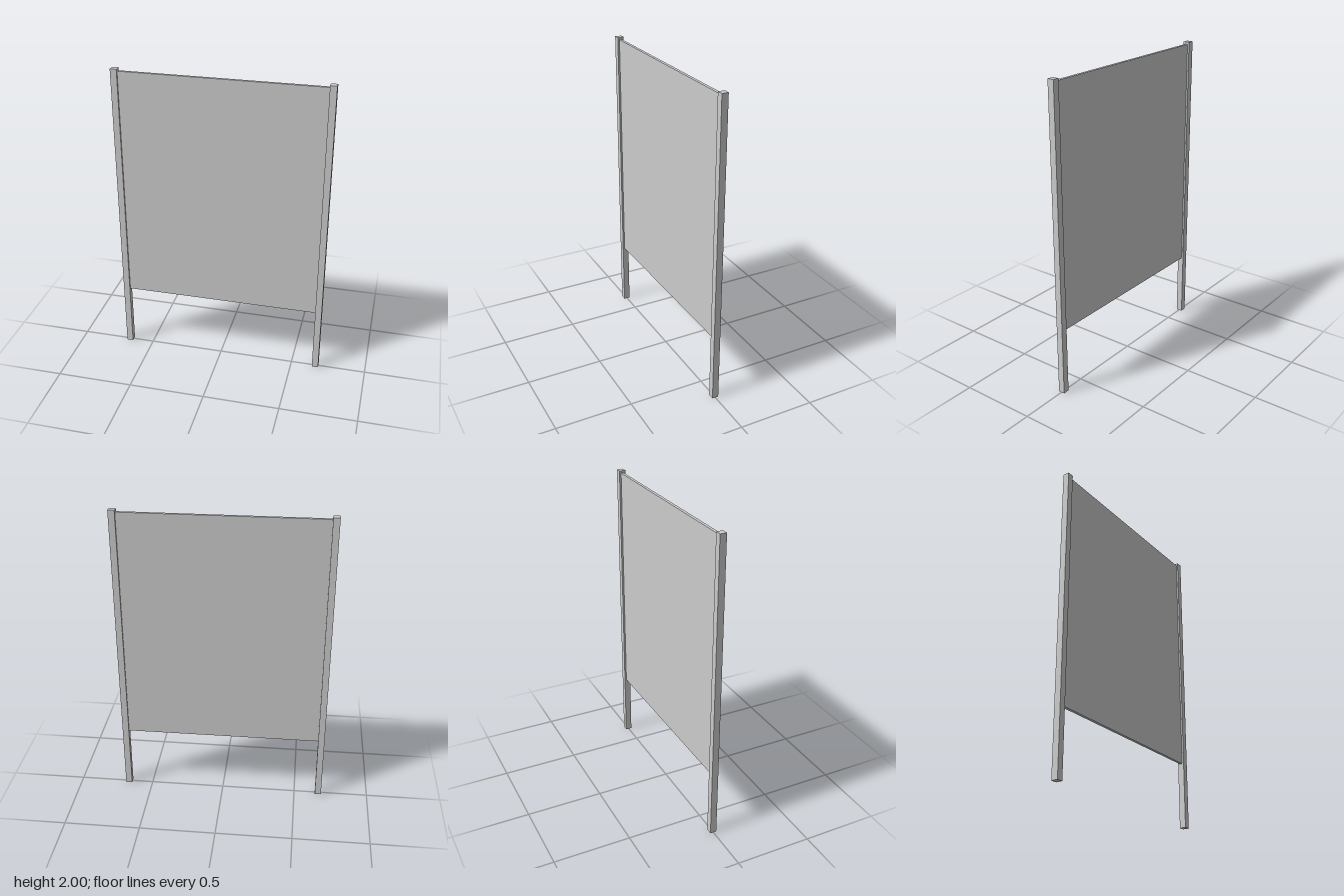
import * as THREE from 'three';

const HEIGHT = 2;
const POST = 0.042; // square post section
const POST_X = 0.665; // post centre line
const PANEL_BOTTOM = 0.433;
const PANEL_TOP = 1.985;
const PANEL_DEPTH = 0.019;

export function createModel() {
  const model = new THREE.Group();
  model.name = 'noticeBoard';
  const material = new THREE.MeshStandardMaterial({ color: 0xcccccc });

  const addBox = (name, size, position) => {
    const mesh = new THREE.Mesh(new THREE.BoxGeometry(...size), material);
    mesh.name = name;
    mesh.position.set(...position);
    model.add(mesh);
  };

  // Square posts on both sides
  for (const side of [-1, 1]) {
    addBox(side > 0 ? 'leftPost' : 'rightPost', [POST, HEIGHT, POST], [side * POST_X, HEIGHT / 2, 0]);
  }

  // Thin panel spanning the gap between the posts
  addBox(
    'panel',
    [2 * POST_X - POST, PANEL_TOP - PANEL_BOTTOM, PANEL_DEPTH],
    [0, (PANEL_TOP + PANEL_BOTTOM) / 2, 0]
  );

  return model;
}
